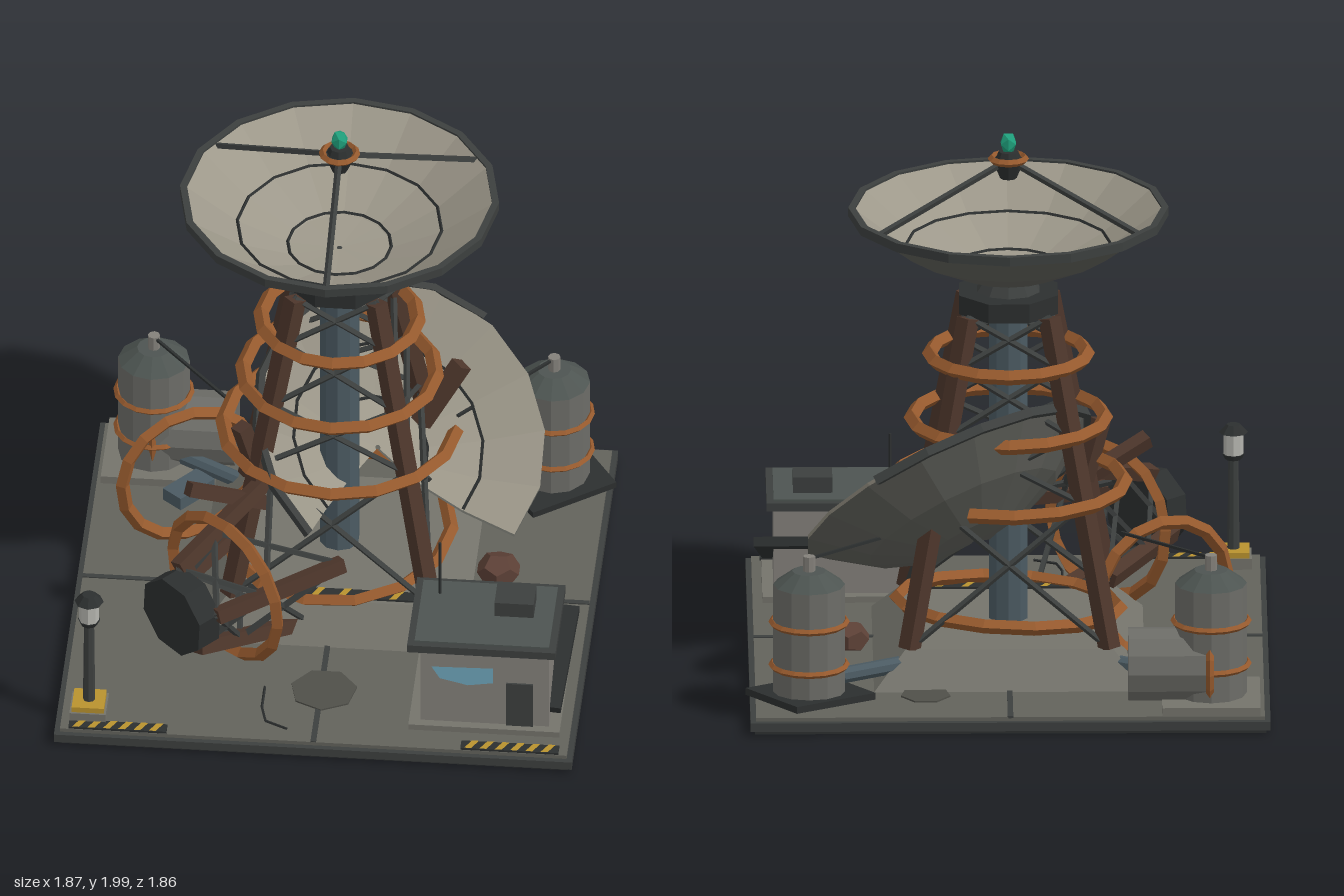
import * as THREE from 'three';

const C = { ground: 0x62625b, dark: 0x2c2f2f, edge: 0x3c3f3e, steel: 0x4b5a62, brown: 0x4d362b, copper: 0x95592d, shell: 0x5d5e58,
  dish: 0x9d988a, concrete: 0x74736b, wall: 0x83807a, tank: 0x6c6c67, roof: 0x4d5451, yellow: 0xb8922e, glass: 0x6fa6ba, crystal: 0x1fa07c };
const UP = new THREE.Vector3(0, 1, 0);
const V = (x, y, z) => new THREE.Vector3(x, y, z);
const rad = THREE.MathUtils.degToRad;

function add(parent, name, geo, color, x = 0, y = 0, z = 0) {
  const m = new THREE.Mesh(geo, new THREE.MeshStandardMaterial({ color, flatShading: true, side: THREE.DoubleSide }));
  m.name = name;
  m.position.set(x, y, z);
  parent.add(m);
  return m;
}
const box = (p, name, w, h, d, color, x, y, z) => add(p, name, new THREE.BoxGeometry(w, h, d), color, x, y, z);
const cyl = (p, name, rt, rb, h, n, color, x, y, z) => add(p, name, new THREE.CylinderGeometry(rt, rb, h, n), color, x, y, z);

// Straight bar between two points, square (n = 4) or round
function bar(p, name, a, b, r, color, n = 4) {
  const d = b.clone().sub(a), m = cyl(p, name, r, r, d.length(), n, color);
  m.position.copy(a).add(b).multiplyScalar(0.5);
  m.quaternion.setFromUnitVectors(UP, d.normalize());
  return m;
}

// Horizontal hoop with diamond section
function hoop(p, name, r, t, color, y, n = 16, arc = Math.PI * 2) {
  const g = new THREE.TorusGeometry(r, t, 4, n, arc);
  g.rotateX(Math.PI / 2);
  return add(p, name, g, color, 0, y, 0);
}

// Dish with its rim plane at y = 0; start and length in degrees let it be broken
function dish(name, start, length, rimStart, rimLength) {
  const g = new THREE.Group();
  g.name = name;
  const profile = [[0.01, -0.235], [0.18, -0.225], [0.37, -0.14], [0.555, 0]];
  const seg = a => Math.round(a / 22.5);
  const lathe = (n, pts, color, s, l) => add(g, n, new THREE.LatheGeometry(pts.map(q => new THREE.Vector2(...q)), seg(l), rad(s), rad(l)), color);
  lathe('dishBack', profile, C.shell, start, length);
  lathe('dishFace', profile.map(([r, y]) => [r * 0.99, y + 0.014]), C.dish, start, length);
  lathe('dishRim', [[0.545, -0.015], [0.57, -0.015], [0.57, 0.018], [0.545, 0.018], [0.545, -0.015]], C.edge, rimStart, rimLength);
  for (const [r, y] of [[0.185, -0.204], [0.365, -0.122]])
    lathe('dishSeam', [[r - 0.006, y], [r, y + 0.008], [r + 0.006, y]], C.dark, start, length);
  return g;
}

// Four corner legs with crossed braces between the given heights; radius(y) gives the leg distance
function frame(p, levels, radius, legR) {
  const at = (k, y) => { const a = Math.PI / 4 + k * Math.PI / 2, r = radius(y); return V(r * Math.cos(a), y, r * Math.sin(a)); };
  for (let k = 0; k < 4; k++) {
    bar(p, 'leg', at(k, levels[0]), at(k, levels.at(-1)), legR, C.brown);
    for (let i = 0; i + 1 < levels.length; i++) {
      bar(p, 'brace', at(k, levels[i]), at(k + 1, levels[i + 1]), 0.012, C.edge);
      bar(p, 'brace', at(k + 1, levels[i]), at(k, levels[i + 1]), 0.012, C.edge);
    }
  }
}

function tank(p, x, z) {
  const g = new THREE.Group();
  g.name = 'tank';
  g.position.set(x, 0, z);
  p.add(g);
  cyl(g, 'tankBody', 0.128, 0.128, 0.42, 12, C.tank, 0, 0.29, 0);
  cyl(g, 'tankShoulder', 0.06, 0.128, 0.05, 12, C.roof, 0, 0.525, 0);
  cyl(g, 'tankValve', 0.022, 0.022, 0.06, 8, C.wall, 0, 0.575, 0);
  for (const y of [0.2, 0.36]) hoop(g, 'tankBand', 0.133, 0.012, C.copper, y);
}

function hazardStrip(p, x, y, z, w, d) {
  box(p, 'hazardStrip', w, 0.008, d, C.dark, x, y, z);
  for (let i = 0; i < 6; i++) {
    const s = new THREE.Shape([[-0.025, -d / 2], [0, -d / 2], [0.025, d / 2], [0, d / 2]].map(q => new THREE.Vector2(...q)));
    const g = new THREE.ShapeGeometry(s);
    g.rotateX(-Math.PI / 2);
    add(p, 'hazardStripe', g, C.yellow, x + (i - 2.5) * w / 6.4, y + 0.006, z);
  }
}

export function createModel() {
  const model = new THREE.Group();
  model.name = 'ruinedRelayStation';

  // Ground slab with seams, patches and hazard strips
  box(model, 'slabUnderside', 1.82, 0.015, 1.82, C.dark, 0, 0.0075, 0);
  box(model, 'slabEdge', 1.85, 0.032, 1.85, C.edge, 0, 0.03, 0);
  box(model, 'slabTop', 1.81, 0.02, 1.81, C.ground, 0, 0.05, 0);
  box(model, 'seam', 0.02, 0.008, 1.81, C.edge, 0, 0.06, 0);
  box(model, 'seam', 1.81, 0.008, 0.02, C.edge, 0, 0.06, 0);
  for (const [x, z, r] of [[0.01, 0.6, 0.12], [0.3, -0.66, 0.09]]) cyl(model, 'groundPatch', r, r, 0.006, 7, 0x4f4f49, x, 0.064, z);
  const crack = [V(-0.2, 0.064, 0.6), V(-0.2, 0.064, 0.72), V(-0.18, 0.064, 0.8), V(-0.1, 0.064, 0.84)];
  for (let i = 0; i < 3; i++) bar(model, 'crack', crack[i], crack[i + 1], 0.005, C.dark);
  for (const x of [-0.7, 0.7]) hazardStrip(model, x, 0.064, 0.88, 0.35, 0.045);

  // Standing tower
  const tower = new THREE.Group();
  tower.name = 'tower';
  tower.position.z = -0.14;
  model.add(tower);
  const plinth = cyl(tower, 'plinth', 0.37 * Math.SQRT2, 0.485 * Math.SQRT2, 0.125, 4, C.concrete, 0, 0.12, 0);
  plinth.rotation.y = Math.PI / 4;
  hazardStrip(tower, 0, 0.186, 0.33, 0.6, 0.05);
  cyl(tower, 'mast', 0.072, 0.072, 1.2, 10, C.steel, 0, 0.78, 0);
  frame(tower, [0.18, 0.69, 0.93, 1.17, 1.35], y => 0.205 + (1.35 - y) * 0.255, 0.04);
  for (const [r, y] of [[0.28, 1.17], [0.345, 0.93]]) hoop(tower, 'hoop', r, 0.028, C.copper, y);
  hoop(tower, 'brokenHoop', 0.415, 0.028, C.copper, 0.69, 13, rad(290));
  const slumped = hoop(tower, 'slumpedHoop', 0.4, 0.026, C.copper, 0.235, 14);
  slumped.rotation.set(0.09, 0, 0.05);
  const collar = cyl(tower, 'collar', 0.19, 0.19, 0.07, 8, C.dark, 0, 1.375, 0);
  collar.rotation.y = Math.PI / 8;
  cyl(tower, 'dishMount', 0.075, 0.12, 0.07, 10, C.edge, 0, 1.44, 0);

  // Upper dish and its feed
  const upper = dish('upperDish', 0, 360, 0, 360);
  upper.position.y = 1.7;
  tower.add(upper);
  for (let k = 0; k < 3; k++) {
    const a = Math.PI / 2 + k * Math.PI * 2 / 3;
    bar(tower, 'feedStrut', V(0.54 * Math.cos(a), 1.7, 0.54 * Math.sin(a)), V(0, 1.895, 0), 0.012, C.edge);
  }
  cyl(tower, 'feedHorn', 0.06, 0.03, 0.075, 8, C.dark, 0, 1.865, 0);
  hoop(tower, 'feedBand', 0.06, 0.014, C.copper, 1.9, 12);
  cyl(tower, 'crystalSeat', 0.035, 0.045, 0.025, 8, C.dark, 0, 1.915, 0);
  const crystal = add(tower, 'crystal', new THREE.IcosahedronGeometry(0.032, 0), C.crystal, 0, 1.958, 0);
  crystal.scale.y = 1.3;

  // Fallen dish caught in the tower
  const fallen = dish('fallenDish', -34, 269, 60, 175);
  const n = V(0.42, 0.755, 0.5).normalize(), a = V(1, 0, 0).addScaledVector(n, -n.x).normalize();
  fallen.quaternion.setFromRotationMatrix(new THREE.Matrix4().makeBasis(n.clone().cross(a), n, a));
  fallen.position.set(0.22, 0.68, -0.14);
  model.add(fallen);
  bar(model, 'snappedBeam', V(0.27, 0.55, -0.36), V(0.41, 0.77, -0.43), 0.04, C.brown);
  bar(model, 'snappedBeam', V(-0.27, 0.62, 0.08), V(-0.33, 0.84, 0.1), 0.038, C.brown);
  bar(model, 'snappedBeam', V(-0.24, 0.57, 0.18), V(-0.5, 0.7, 0.3), 0.035, C.brown);

  // Collapsed tower section lying at the front
  const wreck = new THREE.Group();
  wreck.name = 'collapsedSection';
  wreck.position.set(-0.5, 0.35, 0.56);
  wreck.quaternion.setFromUnitVectors(UP, V(-0.67, -0.03, 0.74).normalize());
  wreck.rotateY(0.35);
  model.add(wreck);
  cyl(wreck, 'wreckCollar', 0.155, 0.155, 0.1, 8, C.dark, 0, 0, 0);
  hoop(wreck, 'wreckHoop', 0.275, 0.026, C.copper, -0.21);
  frame(wreck, [-0.52, -0.22, -0.03], y => 0.15 - y * 0.28, 0.036);

  // Loose hoop standing on edge
  const loose = hoop(model, 'looseHoop', 0.255, 0.026, C.copper, 0.33);
  loose.position.set(-0.55, 0.33, -0.28);
  loose.quaternion.setFromUnitVectors(UP, V(0.45, 0.05, 0.89).normalize());

  // Tanks, pads, pipes and wires
  box(model, 'tankPad', 0.35, 0.03, 0.35, C.concrete, -0.715, 0.075, -0.725);
  const tarp = box(model, 'darkPad', 0.34, 0.025, 0.32, C.dark, 0.71, 0.085, -0.71);
  tarp.rotation.set(0.06, 0.6, 0);
  for (const s of [-1, 1]) {
    tank(model, s * 0.715, -0.72);
    bar(model, 'pipe', V(s * 0.6, 0.13, -0.64), V(s * 0.36, 0.13, -0.5), 0.03, C.steel, 8);
    bar(model, 'wire', V(s * 0.715, 0.595, -0.72), V(s * 0.4, 0.575, -0.38), 0.007, C.dark);
  }
  const lying = cyl(model, 'lyingTank', 0.133, 0.133, 0.3, 12, C.tank, -0.57, 0.2, -0.73);
  lying.rotation.z = Math.PI / 2;
  const band = hoop(model, 'lyingTankBand', 0.137, 0.014, C.copper, 0.2);
  band.position.set(-0.71, 0.2, -0.73);
  band.rotation.z = Math.PI / 2;
  const scrap = box(model, 'scrapPanel', 0.09, 0.05, 0.17, C.steel, -0.57, 0.1, -0.49);
  scrap.rotation.y = -0.7;
  const rock = add(model, 'rubble', new THREE.DodecahedronGeometry(0.08, 0), 0x5c4036, 0.57, 0.1, -0.12);
  rock.scale.y = 0.75;

  // Control booth
  const booth = new THREE.Group();
  booth.name = 'booth';
  model.add(booth);
  box(booth, 'boothPad', 0.54, 0.025, 0.42, C.concrete, 0.6, 0.07, 0.59);
  box(booth, 'boothWalls', 0.46, 0.33, 0.345, C.wall, 0.6, 0.24, 0.595);
  box(booth, 'boothRoof', 0.53, 0.03, 0.405, C.edge, 0.59, 0.415, 0.592);
  box(booth, 'roofSheet', 0.48, 0.01, 0.36, C.roof, 0.59, 0.432, 0.592);
  box(booth, 'roofUnit', 0.14, 0.06, 0.115, C.edge, 0.69, 0.465, 0.545);
  bar(booth, 'antenna', V(0.415, 0.43, 0.485), V(0.415, 0.66, 0.485), 0.006, C.dark);
  box(booth, 'door', 0.095, 0.185, 0.012, C.edge, 0.725, 0.175, 0.769);
  const pane = new THREE.Shape([[0.41, 0.325], [0.44, 0.275], [0.54, 0.25], [0.63, 0.265], [0.63, 0.33]].map(q => new THREE.Vector2(...q)));
  add(booth, 'window', new THREE.ShapeGeometry(pane), C.glass, 0, 0, 0.772);
  const sheet = box(booth, 'leaningSheet', 0.34, 0.035, 0.42, C.dark, 0.715, 0.22, 0.53);
  sheet.rotation.set(0.42, -0.08, 0);
  bar(booth, 'fallenStrut', V(0.33, 0.2, 0.26), V(0.46, 0.4, 0.42), 0.022, C.edge);

  // Lamp post
  const lamp = new THREE.Group();
  lamp.name = 'lampPost';
  lamp.position.set(-0.81, 0, 0.8);
  model.add(lamp);
  box(lamp, 'lampFoot', 0.13, 0.04, 0.13, C.concrete, 0, 0.08, 0);
  box(lamp, 'lampFootTrim', 0.115, 0.022, 0.115, C.yellow, 0, 0.11, 0);
  cyl(lamp, 'lampPole', 0.018, 0.022, 0.35, 8, C.edge, 0, 0.29, 0);
  cyl(lamp, 'lampSeat', 0.04, 0.03, 0.02, 8, C.dark, 0, 0.465, 0);
  cyl(lamp, 'lampGlass', 0.036, 0.036, 0.085, 8, 0xb4b4ae, 0, 0.515, 0);
  cyl(lamp, 'lampCap', 0.025, 0.052, 0.03, 8, C.dark, 0, 0.57, 0);
  return model;
}
